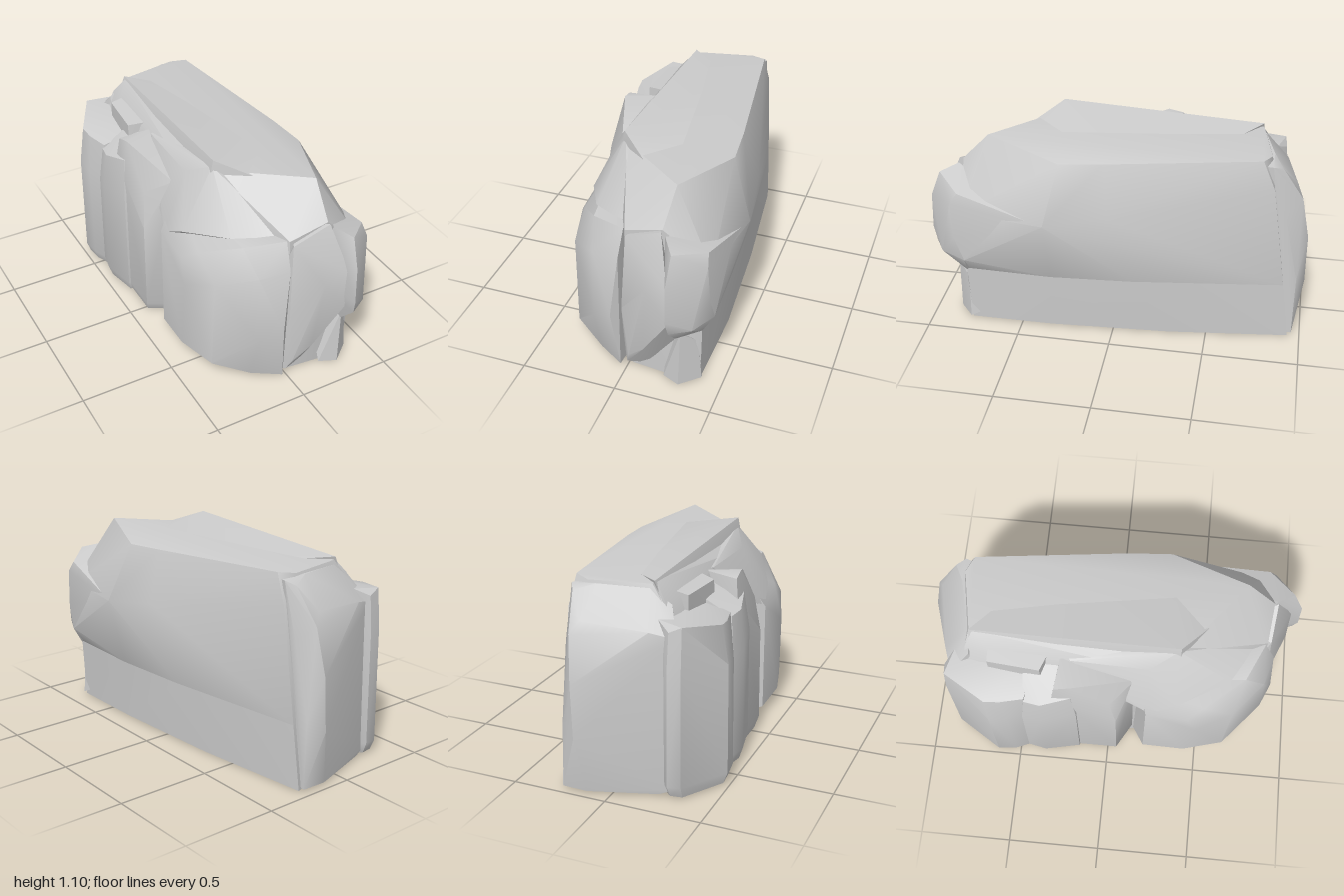
import * as THREE from 'three';
import { ConvexGeometry } from 'three/addons/geometries/ConvexGeometry.js';
import { toCreasedNormals } from 'three/addons/utils/BufferGeometryUtils.js';

const stone = new THREE.MeshStandardMaterial({ color: 0xcccccc });

// One faceted chunk of rock: the hull of a few corner points
function chunk(name, corners) {
  const hull = new ConvexGeometry(corners.map((c) => new THREE.Vector3(...c)));
  const mesh = new THREE.Mesh(toCreasedNormals(hull, 0.6), stone);
  mesh.name = name;
  return mesh;
}

// Upright pillar: [x, z, bottom y, top y, top inset] per corner, drawn in towards (cx, cz) at both ends
function pillar(name, cx, cz, corners) {
  const points = [];
  for (const [x, z, y0, y1, inset] of corners) {
    const pull = (k, y) => [x + (cx - x) * k, y, z + (cz - z) * k];
    points.push(pull(0.12, y0), pull(0, y0 + 0.06), pull(0.02, y1 - 0.2), pull(inset, y1));
  }
  return chunk(name, points);
}

export function createModel() {
  const rock = new THREE.Group();
  rock.name = 'boulder';

  rock.add(
    // Foot of the broad left face
    chunk('lowerBody', [
      [0.265, 0, -0.935], [0.34, 0, -0.3], [0.39, 0.01, 0.33], [0.38, 0, 0.78], [0.3, 0, 0.82],
      [0.02, 0, 0.79], [-0.28, 0, 0.35], [-0.29, 0, -0.75],
      [0.268, 0.33, -0.89], [0.37, 0.33, -0.1], [0.4, 0.33, 0.33], [0.39, 0.33, 0.79],
      [0.3, 0.33, 0.82], [0.02, 0.33, 0.8], [-0.28, 0.33, 0.3], [-0.29, 0.33, -0.77],
    ]),
    // Main mass with the flat top
    chunk('upperBody', [
      [0.268, 0.33, -0.89], [0.37, 0.33, -0.1], [0.4, 0.33, 0.33], [0.39, 0.33, 0.79],
      [0.02, 0.33, 0.8], [-0.28, 0.33, 0.3], [-0.29, 0.33, -0.77],
      [0.45, 0.42, 0.78], [0.43, 0.7, 0.78], [0.49, 0.7, 0.34], [0.44, 0.75, 0.02], [0.265, 0.9, -0.805],
      [0.38, 1.01, 0.27], [0.36, 1.02, 0.05], [0.25, 1.05, -0.74], [0.17, 1.04, -0.78],
      [-0.14, 1.04, -0.72], [-0.16, 1.04, 0.35], [0.02, 1.03, 0.5], [0.22, 1.06, 0.67],
      [-0.28, 0.85, -0.77], [-0.29, 0.8, 0.25], [0.2, 0.9, 0.82], [0, 0.84, 0.8],
    ]),
    // Raised edge of the flat top
    chunk('topCrest', [
      [-0.17, 1.1, 0.35], [-0.15, 1.055, -0.72], [0, 1.03, 0.5], [0.1, 1.03, -0.5],
      [-0.19, 1.0, 0.35], [-0.18, 0.98, -0.72], [0.15, 1.05, 0.3], [0, 0.9, 0.5],
    ]),
    // Rounded back end, stepped in from the left face
    chunk('backEnd', [
      [0.25, 0.01, -0.955], [0.12, 0.01, -0.96], [-0.22, 0.01, -0.85], [-0.3, 0.04, -0.83],
      [0.24, 0.35, -0.955], [0.16, 0.3, -1], [0.17, 0.58, -0.995], [0.19, 0.82, -0.95],
      [0.25, 0.75, -0.87], [0.15, 0.88, -0.92], [-0.18, 0.85, -0.86], [-0.3, 0.82, -0.82],
      [0.25, 1.02, -0.79], [0.22, 1.0, -0.84], [0.12, 1.03, -0.79], [-0.13, 1.02, -0.73],
      [-0.24, 0.95, -0.72], [0.2, 1, -0.6], [0.2, 0, -0.6], [-0.28, 0, -0.6],
    ]),
    // Overhanging nose, undercut below and flush with the left face
    chunk('frontNose', [
      [0.22, 0.88, 0.84], [0.28, 0.85, 0.93], [0.42, 0.81, 0.8], [0.48, 0.7, 0.36],
      [0.27, 0.7, 0.99], [0.43, 0.75, 0.84], [0.27, 0.5, 1], [0.44, 0.55, 0.83],
      [0.28, 0.42, 0.98], [0.38, 0.42, 0.92], [0.45, 0.42, 0.78],
      [0.28, 0.31, 0.88], [0.39, 0.32, 0.79], [0.2, 0.5, 0.75],
    ]),
    chunk('frontToe', [
      [0.2, 0, 0.83], [0.29, 0, 0.87], [0.39, 0.01, 0.79], [0.27, 0.16, 0.84],
      [0.37, 0.25, 0.79], [0.3, 0.33, 0.86], [0.2, 0.2, 0.75], [0.36, 0.1, 0.6],
    ]),
    // Middle of the front, tapering to its foot
    chunk('frontRib', [
      [0.01, 0.82, 0.82], [0.2, 0.9, 0.84], [0.26, 0.66, 0.94], [0.26, 0.43, 0.93],
      [0.11, 0.19, 0.88], [0.02, 0.1, 0.85], [0, 0.03, 0.82], [-0.01, 0.4, 0.85],
      [0.14, 0.6, 0.92], [0.12, 0.01, 0.77], [0.28, 0.25, 0.8], [0.1, 0.85, 0.65],
      [-0.03, 0.6, 0.75], [-0.04, 0.03, 0.75],
    ]),
    // Rounded buttress on the right of the front
    chunk('frontButtress', [
      [-0.01, 0.84, 0.79], [-0.02, 0.7, 0.85], [-0.06, 0.36, 0.88], [-0.03, 0.02, 0.84],
      [-0.2, 0.81, 0.7], [-0.17, 0.68, 0.81], [-0.17, 0.3, 0.83], [-0.17, 0.02, 0.75],
      [-0.34, 0.7, 0.5], [-0.33, 0.6, 0.66], [-0.34, 0.08, 0.65], [-0.29, 0.02, 0.58],
      [-0.39, 0.63, 0.42], [-0.4, 0.5, 0.47], [-0.4, 0.08, 0.43], [-0.33, 0.02, 0.35],
      [-0.39, 0.66, 0.2], [-0.39, 0.06, 0.2], [-0.27, 0.02, 0.13], [-0.27, 0.85, 0.15],
      [0.01, 0.8, 0.4], [0, 0.02, 0.4],
    ]),
    // Slope joining the buttress to the top
    chunk('rightShoulder', [
      [-0.17, 1.06, 0.34], [-0.25, 0.98, 0.2], [-0.24, 0.98, -0.2], [-0.35, 0.74, 0.36],
      [-0.38, 0.66, 0.22], [-0.29, 0.8, -0.1], [-0.22, 0.82, 0.62], [0, 0.84, 0.75],
      [0, 1, 0.4], [0, 0.7, 0.2], [-0.1, 1, -0.3],
    ]),
    // Ledge running along the right edge of the top
    chunk('rightLedge', [
      [-0.16, 1.04, 0.3], [-0.15, 1.05, -0.7], [-0.24, 0.98, 0.1], [-0.24, 0.96, -0.6],
      [-0.21, 0.97, -0.74], [-0.29, 0.8, 0.1], [-0.29, 0.8, -0.75], [0, 0.9, 0], [0, 0.9, -0.7],
    ]),
    // Broken pillars along the right side
    pillar('backPillar', -0.32, -0.65, [
      [-0.27, -0.87, 0.01, 0.86, 0.1], [-0.34, -0.86, 0.01, 0.89, 0.1],
      [-0.49, -0.62, 0.01, 0.85, 0.2], [-0.48, -0.52, 0.01, 0.84, 0.2],
      [-0.43, -0.4, 0.01, 0.84, 0.1], [-0.2, -0.4, 0.01, 0.9, 0], [-0.2, -0.8, 0.01, 0.9, 0],
    ]),
    pillar('highBlock', -0.24, -0.45, [
      [-0.28, -0.62, 0.5, 0.97, 0], [-0.31, -0.34, 0.5, 0.97, 0.1],
      [-0.18, -0.3, 0.5, 0.99, 0], [-0.18, -0.62, 0.5, 0.99, 0],
    ]),
    pillar('middlePillar', -0.3, -0.3, [
      [-0.45, -0.45, 0.01, 0.82, 0.15], [-0.47, -0.35, 0.01, 0.83, 0.15],
      [-0.43, -0.16, 0.01, 0.87, 0.2], [-0.2, -0.1, 0.01, 0.95, 0], [-0.2, -0.45, 0.01, 0.95, 0],
    ]),
    pillar('innerPillar', -0.28, -0.15, [
      [-0.42, -0.3, 0.01, 0.96, 0.2], [-0.42, -0.2, 0.01, 0.98, 0.25], [-0.41, -0.08, 0.01, 0.9, 0.25],
      [-0.42, 0.05, 0.01, 0.78, 0.2], [-0.28, 0.13, 0.01, 0.88, 0], [-0.2, -0.25, 0.01, 0.98, 0],
    ]),
  );
  return rock;
}
